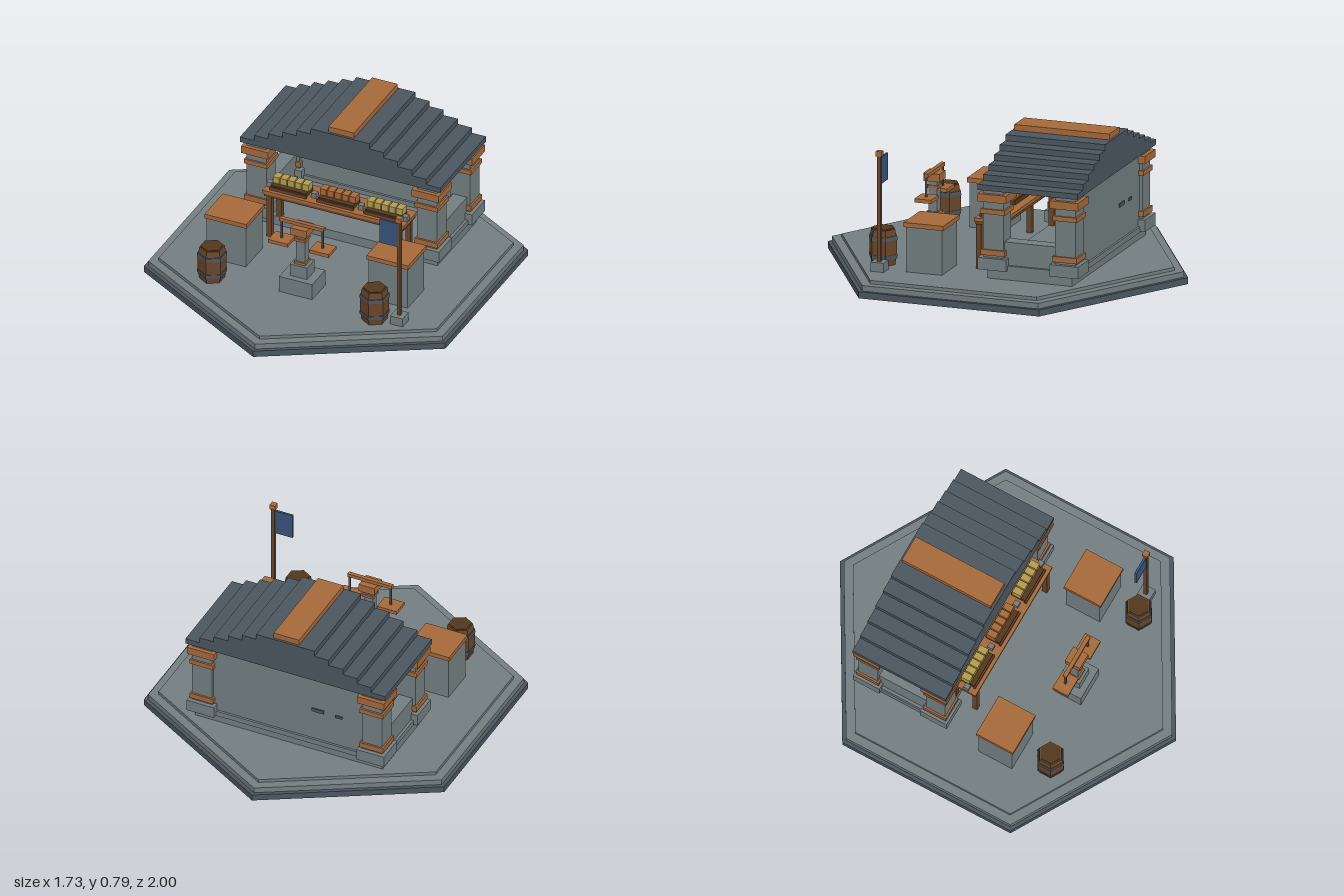
import * as THREE from 'three';

const mat = (name, color) => Object.assign(new THREE.MeshStandardMaterial({ color }), { name });
const M = {
  stone: mat('stone', 0x737e80),
  slate: mat('slate', 0x4a565e),
  copper: mat('copper wood', 0xa5693a),
  wood: mat('brown wood', 0x69452a),
  darkWood: mat('dark wood', 0x52371f),
  gold: mat('golden goods', 0xb29c4c),
  blue: mat('blue cloth', 0x37557a),
};

const GROUND = 0.083;

// Box given by its centre in x and z, its bottom and top in y, and its width and depth
function box(parent, name, m, x, z, y0, y1, w, d) {
  const mesh = new THREE.Mesh(new THREE.BoxGeometry(w, y1 - y0, d), m);
  mesh.position.set(x, (y0 + y1) / 2, z);
  mesh.name = name;
  parent.add(mesh);
  return mesh;
}

// Six-sided prism with corners on the z axis
function hex(parent, name, m, r0, r1, y0, y1) {
  const geo = new THREE.CylinderGeometry(r1, r0, y1 - y0, 6).toNonIndexed();
  geo.computeVertexNormals();
  const mesh = new THREE.Mesh(geo, m);
  mesh.position.y = (y0 + y1) / 2;
  mesh.name = name;
  parent.add(mesh);
  return mesh;
}

function group(parent, name, x = 0, z = 0) {
  const g = new THREE.Group();
  g.name = name;
  g.position.set(x, 0, z);
  parent.add(g);
  return g;
}

function addPlatform(root) {
  const g = group(root, 'platform');
  hex(g, 'platformFoot', M.slate, 1, 1, 0, 0.035);
  hex(g, 'platformStep', M.stone, 0.977, 0.977, 0.035, 0.065);
  hex(g, 'platformFloor', M.stone, 0.923, 0.923, 0.065, GROUND);
}

function addColumn(root, x, z) {
  const g = group(root, 'column', x, z);
  box(g, 'columnBase', M.stone, 0, 0, 0.134, 0.198, 0.158, 0.158);
  box(g, 'columnShaft', M.stone, 0, 0, 0.19, 0.565, 0.114, 0.114);
  box(g, 'lowerBand', M.copper, 0, 0, 0.21, 0.24, 0.134, 0.134);
  box(g, 'upperBand', M.copper, 0, 0, 0.432, 0.458, 0.134, 0.134);
  box(g, 'capital', M.copper, 0, 0, 0.499, 0.541, 0.156, 0.156);
}

function addPavilion(root) {
  const g = group(root, 'pavilion');
  box(g, 'foundation', M.stone, 0, -0.325, GROUND, 0.134, 1.08, 0.47);
  box(g, 'backWall', M.stone, 0, -0.525, 0.13, 0.565, 0.94, 0.08);
  box(g, 'backPlinth', M.stone, 0, -0.525, 0.13, 0.16, 0.94, 0.104);
  for (const s of [-1, 1]) {
    box(g, 'sideWall', M.stone, s * 0.49, -0.325, 0.13, 0.284, 0.08, 0.34);
    box(g, 'sidePlinth', M.stone, s * 0.49, -0.325, 0.13, 0.16, 0.11, 0.34);
    for (const z of [-0.125, -0.525]) addColumn(g, s * 0.49, z);
  }
  // Dark chips in the back wall
  box(g, 'wallChip', M.slate, -0.39, -0.483, 0.395, 0.43, 0.03, 0.008);
  box(g, 'wallChip', M.slate, -0.17, -0.567, 0.335, 0.355, 0.07, 0.008);
  box(g, 'wallChip', M.slate, -0.29, -0.567, 0.335, 0.35, 0.04, 0.008);
  // Stepped roof of stacked slabs
  for (let i = 0; i < 6; i++) {
    const y0 = i ? 0.593 + (i - 1) * 0.0323 : 0.563;
    box(g, 'roofStep', M.slate, 0, -0.326, y0, 0.593 + i * 0.0323, 2 * (0.576 - i * 0.0815), 0.554);
  }
  box(g, 'ridgeCap', M.copper, 0, -0.326, 0.754, 0.786, 0.146, 0.528);
}

function addMarketTable(root) {
  const g = group(root, 'marketTable');
  box(g, 'tableTop', M.copper, 0, -0.045, 0.342, 0.36, 0.815, 0.16);
  box(g, 'tableApron', M.wood, 0, -0.045, 0.325, 0.342, 0.8, 0.15);
  for (const x of [-0.37, 0.37])
    for (const z of [-0.105, 0.017]) box(g, 'tableLeg', M.wood, x, z, GROUND, 0.327, 0.028, 0.028);
  // Three trays of goods
  [[-0.27, M.gold], [0, M.copper], [0.27, M.gold]].forEach(([x, m]) => {
    box(g, 'tray', M.darkWood, x, -0.035, 0.36, 0.385, 0.2, 0.085);
    box(g, 'trayLip', M.wood, x, 0.01, 0.36, 0.377, 0.21, 0.012);
    for (let i = -2; i <= 2; i++) box(g, 'goods', m, x + i * 0.042, -0.045, 0.385, 0.422, 0.036, 0.05);
  });
  for (const x of [-0.39, -0.135, 0.135, 0.39]) box(g, 'weight', M.stone, x, -0.025, 0.36, 0.388, 0.028, 0.03);
}

function addCounter(root, x) {
  const g = group(root, 'counter', x, 0.248);
  box(g, 'counterBody', M.stone, 0, 0, GROUND, 0.327, 0.225, 0.2);
  box(g, 'counterTop', M.copper, 0, 0, 0.325, 0.35, 0.24, 0.22);
}

function addScale(root) {
  const g = group(root, 'weighingScale', 0, 0.408);
  box(g, 'scaleFoot', M.stone, 0, 0, GROUND, 0.175, 0.19, 0.158);
  box(g, 'scaleBlock', M.stone, 0, 0, 0.175, 0.245, 0.098, 0.092);
  box(g, 'lowerCollar', M.copper, 0, 0, 0.245, 0.26, 0.064, 0.064);
  box(g, 'scalePost', M.stone, 0, 0, 0.26, 0.425, 0.052, 0.046);
  box(g, 'upperCollar', M.copper, 0, 0, 0.385, 0.4, 0.064, 0.064);
  box(g, 'scaleHead', M.copper, 0, 0, 0.425, 0.468, 0.09, 0.09);
  box(g, 'beam', M.copper, 0, 0, 0.468, 0.487, 0.255, 0.022);
  for (const s of [-1, 1]) {
    box(g, 'hanger', M.slate, s * 0.118, 0, 0.36, 0.47, 0.01, 0.01);
    box(g, 'pan', M.copper, s * 0.118, 0, 0.342, 0.362, 0.112, 0.092);
  }
}

function addBarrel(root, x) {
  const g = group(root, 'barrel', x, 0.515);
  hex(g, 'barrelLower', M.wood, 0.066, 0.076, GROUND, 0.14);
  hex(g, 'barrelMiddle', M.wood, 0.076, 0.076, 0.14, 0.218);
  hex(g, 'barrelUpper', M.wood, 0.076, 0.066, 0.218, 0.275);
  hex(g, 'barrelLid', M.darkWood, 0.058, 0.058, 0.27, 0.279);
  hex(g, 'lowerHoop', M.slate, 0.077, 0.079, 0.118, 0.14);
  hex(g, 'upperHoop', M.slate, 0.079, 0.077, 0.218, 0.24);
}

function addFlag(root) {
  const g = group(root, 'flagpole', 0.596, 0.487);
  box(g, 'poleFoot', M.stone, 0, 0, GROUND, 0.132, 0.073, 0.073);
  box(g, 'pole', M.wood, 0, 0, 0.13, 0.7, 0.02, 0.02);
  box(g, 'poleCap', M.copper, 0, 0, 0.698, 0.725, 0.032, 0.032);
  box(g, 'flag', M.blue, -0.06, 0, 0.545, 0.688, 0.102, 0.012);
}

export function createModel() {
  const root = new THREE.Group();
  root.name = 'marketPavilion';
  addPlatform(root);
  addPavilion(root);
  addMarketTable(root);
  addScale(root);
  for (const s of [-1, 1]) {
    addCounter(root, s * 0.465);
    addBarrel(root, s * 0.467);
  }
  addFlag(root);
  return root;
}
